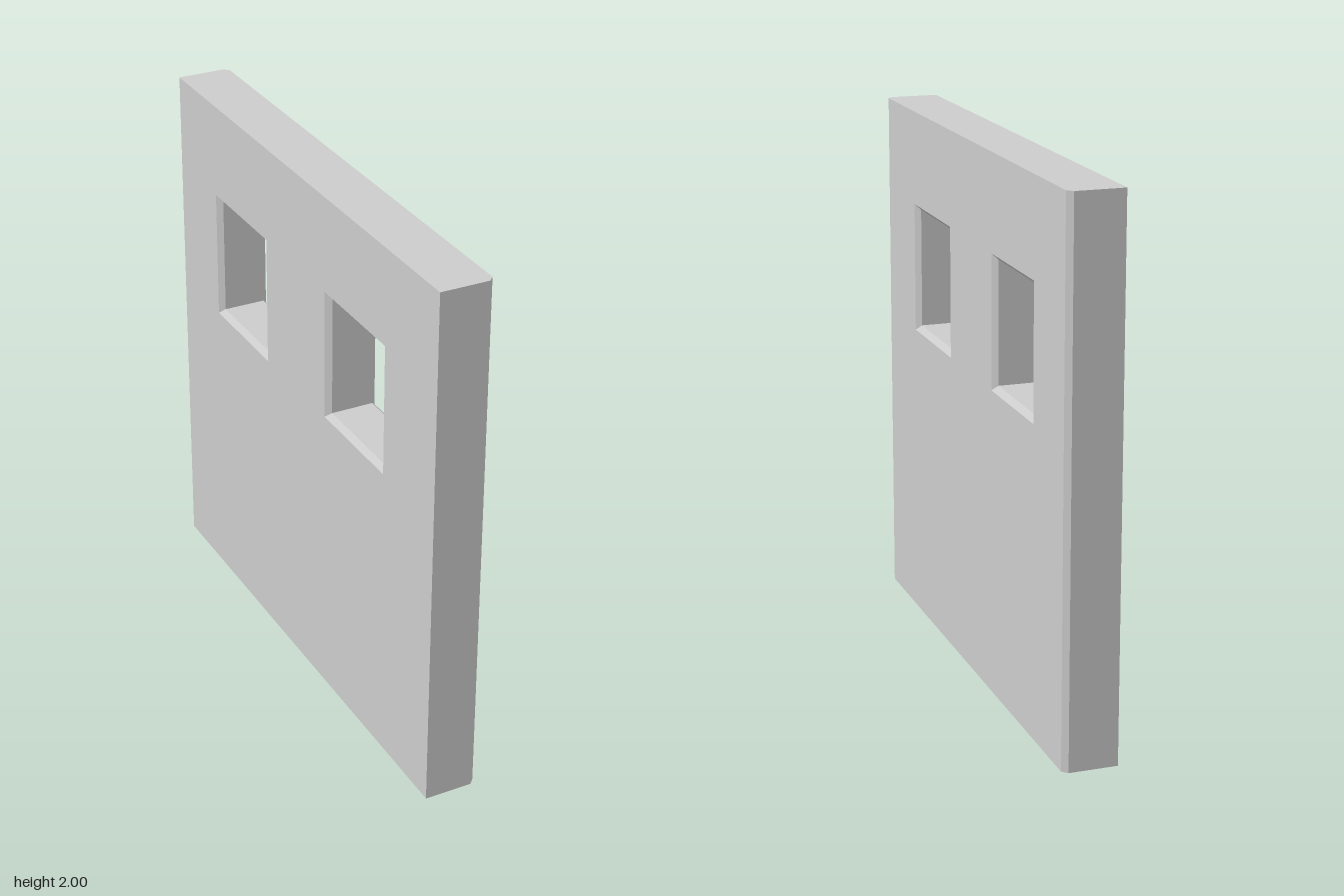
import * as THREE from 'three';

const HEIGHT = 2, HALF = 1, THICK = 0.2, CHAMFER = 0.02;

// Clear opening of each window: [z centre, width]
const WINDOWS = [[0.428, 0.4], [-0.472, 0.394]];
const SILL = 1.168, LINTEL = 1.623;

function rect(target, x0, x1, y0, y1) {
  target.moveTo(x0, y0);
  target.lineTo(x1, y0);
  target.lineTo(x1, y1);
  target.lineTo(x0, y1);
  target.closePath();
  return target;
}

export function createModel() {
  // Wall outline in the z-y plane with two window openings
  const outline = rect(new THREE.Shape(), -HALF, HALF, 0, HEIGHT);
  for (const [z, w] of WINDOWS) {
    outline.holes.push(rect(new THREE.Path(), -z - w / 2, -z + w / 2, SILL, LINTEL));
  }

  // The bevel chamfers the window edges on both faces
  const geometry = new THREE.ExtrudeGeometry(outline, {
    depth: THICK - 2 * CHAMFER,
    bevelEnabled: true,
    bevelThickness: CHAMFER,
    bevelSize: CHAMFER,
    bevelOffset: -CHAMFER,
    bevelSegments: 1,
  });
  geometry.translate(0, 0, CHAMFER - THICK / 2);
  geometry.rotateY(Math.PI / 2);

  // Square off the outer rim, keeping only the upright chamfers on the +x face
  const p = geometry.attributes.position;
  for (let i = 0; i < p.count; i++) {
    if (p.getY(i) < 0.1) p.setY(i, 0);
    if (p.getY(i) > HEIGHT - 0.1) p.setY(i, HEIGHT);
    if (p.getX(i) < 0 && Math.abs(p.getZ(i)) > HALF - 0.1) p.setZ(i, Math.sign(p.getZ(i)) * HALF);
  }
  geometry.computeVertexNormals();

  const wall = new THREE.Mesh(
    geometry,
    new THREE.MeshStandardMaterial({ color: 0xcccccc, flatShading: true })
  );
  wall.name = 'wallPanel';

  const group = new THREE.Group();
  group.name = 'windowWall';
  group.add(wall);
  return group;
}
